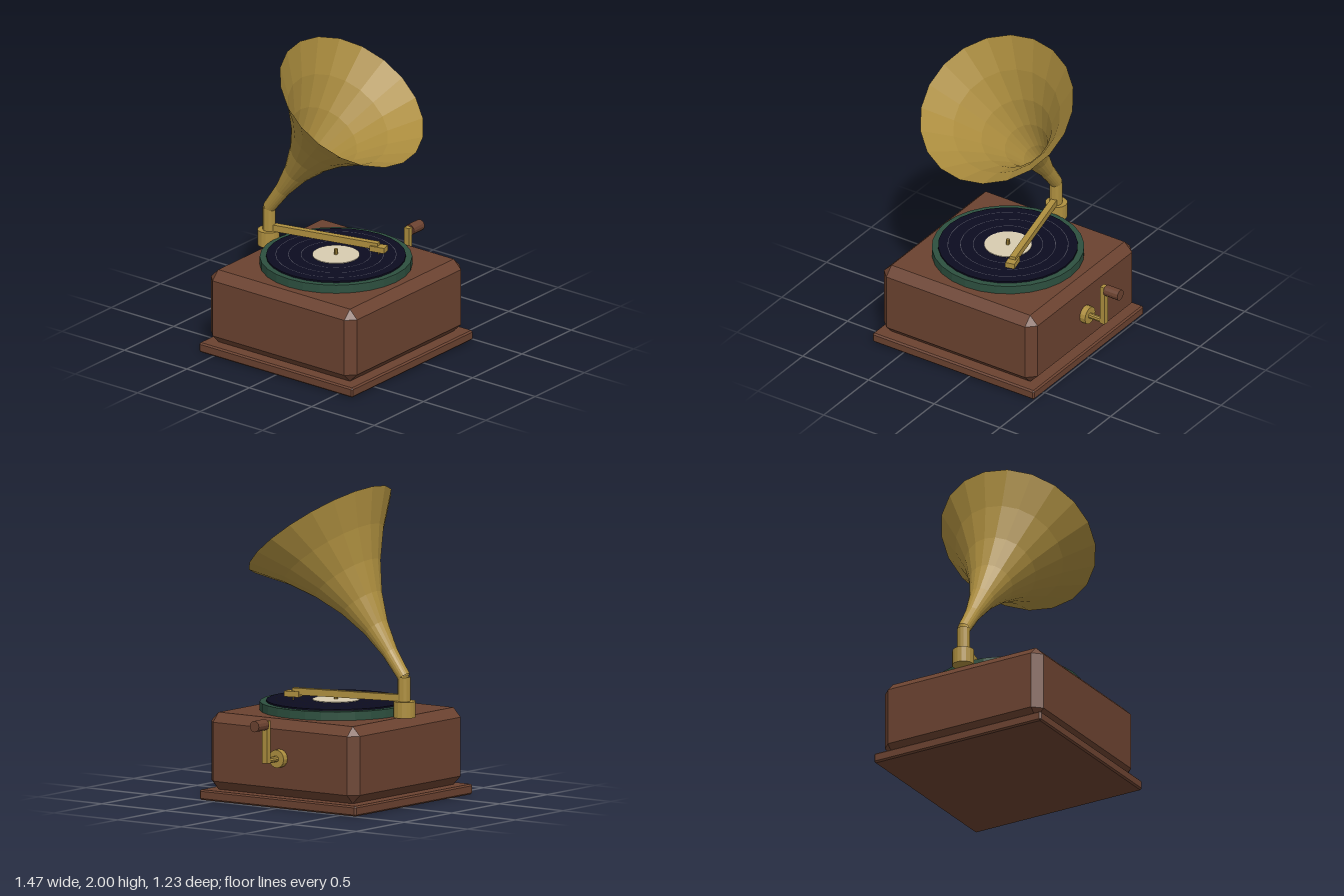
import * as THREE from 'three';
import { ConvexGeometry } from 'three/addons/geometries/ConvexGeometry.js';

const CX = -0.12; // centre line of the cabinet

function material(name, color, extra = {}) {
  const m = new THREE.MeshStandardMaterial({ color, flatShading: true, ...extra });
  m.name = name;
  return m;
}

// Box with every edge and corner cut by c
function chamferBox(w, h, d, c) {
  const points = [];
  for (const x of [-1, 1]) for (const y of [-1, 1]) for (const z of [-1, 1]) {
    const [a, b, e] = [w / 2, h / 2, d / 2];
    points.push(
      new THREE.Vector3(x * a, y * (b - c), z * (e - c)),
      new THREE.Vector3(x * (a - c), y * b, z * (e - c)),
      new THREE.Vector3(x * (a - c), y * (b - c), z * e));
  }
  return new ConvexGeometry(points);
}

export function createModel() {
  const model = new THREE.Group();
  model.name = 'gramophone';

  const wood = material('wood', 0x6b4230);
  const brass = material('brass', 0xae8f3f);
  const hornBrass = brass;
  hornBrass.side = THREE.DoubleSide;
  const felt = material('green felt', 0x2d503f);
  const vinyl = material('vinyl', 0x0c0c20);
  const groove = material('groove', 0x4a4a58);
  const paper = material('label paper', 0xd8ccb0);

  const add = (name, geometry, mat, x, y, z, parent = model) => {
    const mesh = new THREE.Mesh(geometry, mat);
    mesh.name = name;
    mesh.position.set(x, y, z);
    parent.add(mesh);
    return mesh;
  };
  // Upright cylinder between two heights
  const post = (name, r, y0, y1, sides, mat, x, z) =>
    add(name, new THREE.CylinderGeometry(r, r, y1 - y0, sides), mat, x, (y0 + y1) / 2, z);
  // Cylinder lying along x
  const axle = (name, r, x0, x1, sides, mat, y) => {
    const geometry = new THREE.CylinderGeometry(r, r, x1 - x0, sides).rotateZ(-Math.PI / 2);
    return add(name, geometry, mat, (x0 + x1) / 2, y, 0);
  };

  // Cabinet
  add('plinth', chamferBox(1.23, 0.065, 1.23, 0.01), wood, CX, 0.0325, 0);
  add('cabinet', chamferBox(1.17, 0.49, 1.17, 0.058), wood, CX, 0.31, 0);

  // Turntable and record
  post('turntable', 0.48, 0.55, 0.61, 28, felt, CX, 0);
  post('record', 0.44, 0.61, 0.62, 28, vinyl, CX, 0);
  for (const r of [0.22, 0.3, 0.38]) {
    const ring = new THREE.RingGeometry(r - 0.002, r + 0.002, 28).rotateX(-Math.PI / 2);
    add('recordGroove', ring, groove, CX, 0.622, 0);
  }
  post('recordLabel', 0.15, 0.618, 0.624, 24, paper, CX, 0);
  post('spindle', 0.012, 0.62, 0.66, 8, brass, CX, 0);

  // Horn support
  post('supportBase', 0.07, 0.555, 0.657, 16, brass, CX, -0.54);
  post('supportTube', 0.041, 0.655, 0.81, 12, brass, CX, -0.535);

  // Horn: flared lathe tilted forward
  const profile = [];
  for (let i = 0; i <= 6; i++) {
    const t = i / 6;
    profile.push(new THREE.Vector2(0.041 + 0.474 * t ** 2.2, 1.1 * t));
  }
  const horn = add('horn', new THREE.LatheGeometry(profile, 20), hornBrass, CX, 0.81, -0.535);
  horn.rotation.x = Math.atan2(0.6, 0.8);

  // Tone arm, running from the support to the needle
  const toneArm = new THREE.Group();
  toneArm.name = 'toneArm';
  toneArm.position.set(CX, 0, -0.535);
  toneArm.rotation.y = Math.atan2(0.175, 0.74);
  model.add(toneArm);
  const reach = Math.hypot(0.175, 0.74);
  add('arm', new THREE.BoxGeometry(0.04, 0.043, reach), brass, 0, 0.677, reach / 2, toneArm);
  add('soundHead', new THREE.BoxGeometry(0.062, 0.036, 0.1), brass, 0, 0.66, reach, toneArm);
  add('needle', new THREE.CylinderGeometry(0.007, 0.004, 0.03, 6), brass, 0, 0.633, reach, toneArm);

  // Crank
  axle('crankFlange', 0.058, 0.46, 0.505, 14, brass, 0.315);
  axle('crankShaft', 0.019, 0.5, 0.61, 10, brass, 0.315);
  add('crankArm', new THREE.BoxGeometry(0.033, 0.27, 0.04), brass, 0.611, 0.435, 0);
  axle('crankHandle', 0.036, 0.628, 0.735, 12, wood, 0.547);

  return model;
}
